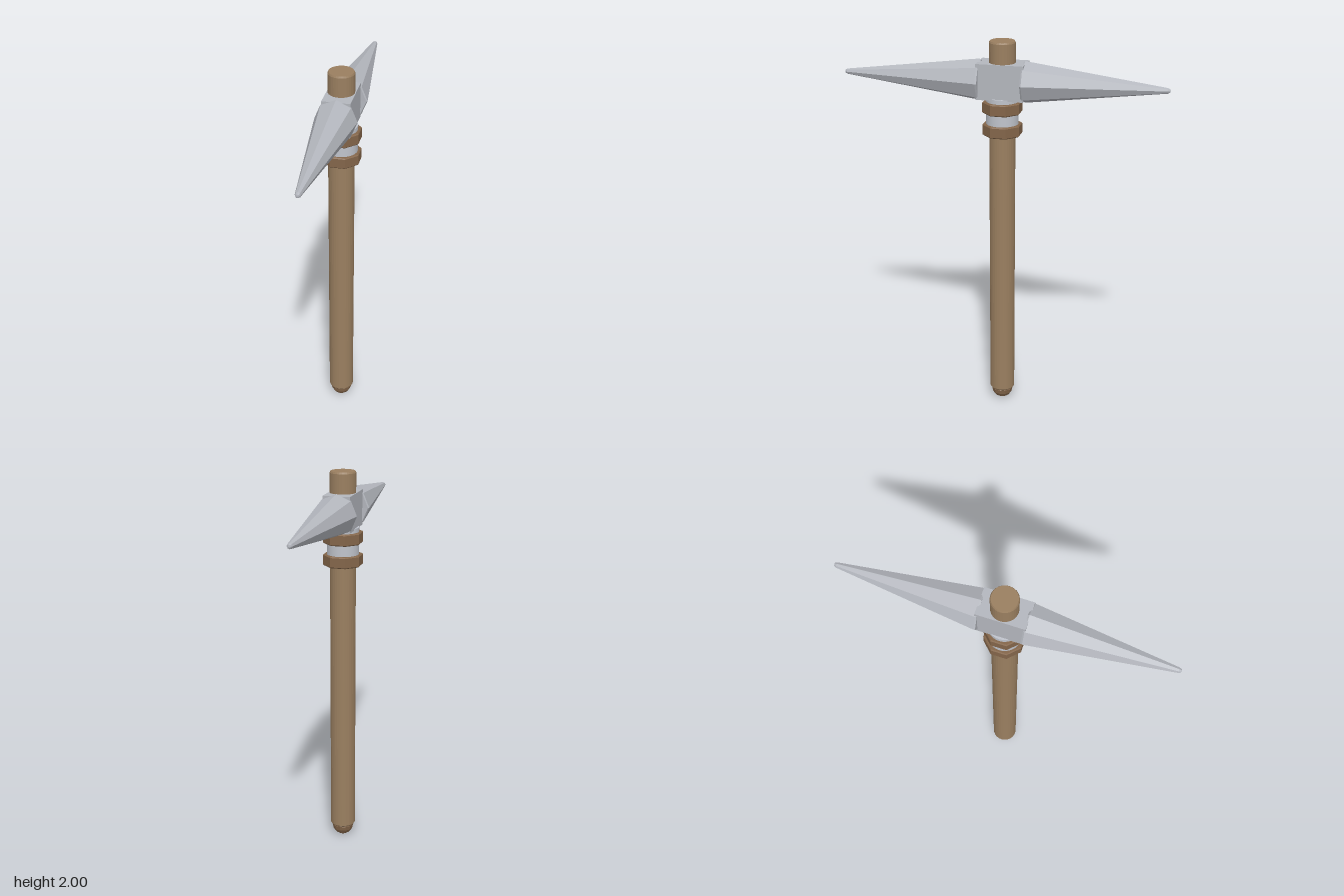
import * as THREE from 'three';

const WOOD = 0x9a7f60, DARK_WOOD = 0x84664a, METAL = 0xb4b7be, PALE_METAL = 0xc0c4cc;

function part(name, geometry, color, flatShading = true) {
  const mesh = new THREE.Mesh(geometry, new THREE.MeshStandardMaterial({ color, flatShading }));
  mesh.name = name;
  return mesh;
}

// Closed lathe from [radius, height] pairs listed bottom to top.
function turned(profile, sides, turn = 0) {
  return new THREE.LatheGeometry(profile.map(([r, y]) => new THREE.Vector2(r, y)), sides, turn);
}

export function createModel() {
  const model = new THREE.Group();
  model.name = 'pickaxe';

  // Round shaft with lightly eased ends
  model.add(part('handle', turned([
    [0, 0.065], [0.06, 0.065], [0.066, 0.073], [0.066, 1.992], [0.062, 2], [0, 2],
  ], 32), WOOD));

  // Rounded butt under the shaft
  model.add(part('pommel', turned([
    [0, 0], [0.022, 0.004], [0.041, 0.017], [0.053, 0.036], [0.058, 0.06], [0.05, 0.072], [0, 0.072],
  ], 12), DARK_WOOD));

  // Metal sleeve below the head
  const collar = new THREE.CylinderGeometry(0.082, 0.082, 0.17, 32);
  collar.translate(0, 1.635, 0);
  model.add(part('collar', collar, PALE_METAL, false));

  // Two eight-sided wooden bands around the sleeve
  for (const [name, low, high] of [['lowerBand', 1.525, 1.583], ['upperBand', 1.639, 1.698]]) {
    model.add(part(name, turned([
      [0.06, low], [0.097, low], [0.102, low + 0.005], [0.102, high - 0.005], [0.097, high], [0.06, high],
    ], 8, Math.PI / 8), DARK_WOOD));
  }

  // Square block holding the shaft
  const block = new THREE.BoxGeometry(0.14, 0.18, 0.24);
  block.translate(0, 1.803, 0);
  model.add(part('headBlock', block, METAL));

  // Octagonal spikes, one forward and one back
  for (const [name, side] of [['frontSpike', 1], ['backSpike', -1]]) {
    const geometry = turned([
      [0, 0.112], [0.1, 0.108], [0.105, 0.116], [0.014, 0.815], [0.009, 0.826], [0, 0.828],
    ], 8);
    geometry.rotateX(side * Math.PI / 2);
    const spike = part(name, geometry, METAL);
    spike.position.y = 1.8;
    model.add(spike);
  }

  return model;
}
